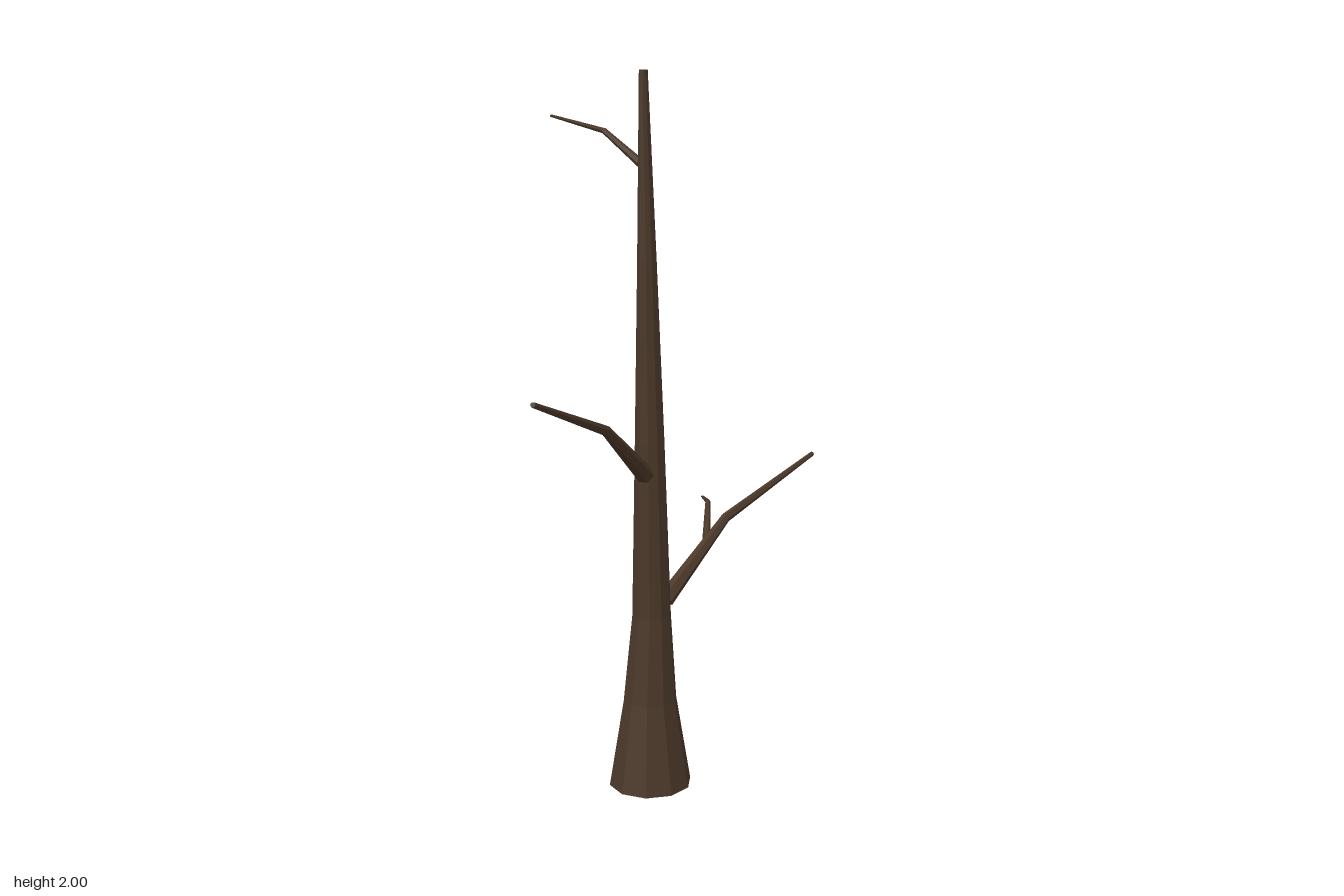
import * as THREE from 'three';

const bark = new THREE.MeshStandardMaterial({ color: 0x4a3728, flatShading: true });

// Capped tube through stations [x, y, z, radius]; level rings lie flat, others follow the path
function limb(name, stations, sides, level = false, turn = 0) {
  const pts = stations.map(s => new THREE.Vector3(s[0], s[1], s[2]));
  const up = new THREE.Vector3(0, 1, 0);
  const last = pts.length - 1;
  const pos = [], idx = [];
  pts.forEach((p, i) => {
    const dir = level ? up.clone()
      : pts[Math.min(i + 1, last)].clone().sub(pts[Math.max(i - 1, 0)]).normalize();
    // u x v points along the limb
    const u = level ? new THREE.Vector3(1, 0, 0) : new THREE.Vector3().crossVectors(up, dir).normalize();
    const v = new THREE.Vector3().crossVectors(dir, u);
    for (let j = 0; j < sides; j++) {
      const a = turn + (j / sides) * Math.PI * 2;
      const q = p.clone().addScaledVector(u, Math.cos(a) * stations[i][3])
        .addScaledVector(v, Math.sin(a) * stations[i][3]);
      pos.push(q.x, q.y, q.z);
    }
  });
  for (let i = 0; i < last; i++) {
    for (let j = 0; j < sides; j++) {
      const a = i * sides + j, b = i * sides + (j + 1) % sides;
      idx.push(a, b, b + sides, a, b + sides, a + sides);
    }
  }
  // End caps
  const end = last * sides;
  for (let j = 1; j < sides - 1; j++) {
    idx.push(0, j + 1, j, end, end + j, end + j + 1);
  }
  const geo = new THREE.BufferGeometry();
  geo.setAttribute('position', new THREE.Float32BufferAttribute(pos, 3));
  geo.setIndex(idx);
  geo.computeVertexNormals();
  const mesh = new THREE.Mesh(geo, bark);
  mesh.name = name;
  return mesh;
}

export function createModel() {
  const tree = new THREE.Group();
  tree.name = 'bareTree';

  // Ten-sided trunk, flared at the foot and tapering to a thin tip
  tree.add(limb('trunk', [
    [-0.118, 0, -0.036, 0.119],
    [-0.117, 0.25, -0.043, 0.077],
    [-0.111, 0.5, -0.05, 0.056],
    [-0.114, 1.0, -0.044, 0.042],
    [-0.119, 1.5, -0.032, 0.027],
    [-0.126, 2.0, -0.02, 0.012],
  ], 10, true, THREE.MathUtils.degToRad(10)));

  // Bent branches
  tree.add(limb('lowerBranch', [
    [-0.07, 0.535, -0.075, 0.025],
    [0.115, 0.735, -0.23, 0.014],
    [0.404, 0.875, -0.471, 0.007],
  ], 6));
  tree.add(limb('lowerTwig', [
    [0.054, 0.675, -0.185, 0.012],
    [0.073, 0.748, -0.378, 0.008],
    [0.069, 0.719, -0.575, 0.004],
  ], 6));
  tree.add(limb('middleBranch', [
    [-0.128, 0.915, -0.008, 0.026],
    [-0.235, 1.08, 0.208, 0.014],
    [-0.404, 1.21, 0.571, 0.007],
  ], 6));
  tree.add(limb('upperBranch', [
    [-0.135, 1.76, -0.037, 0.012],
    [-0.23, 1.846, -0.152, 0.008],
    [-0.38, 1.892, -0.345, 0.004],
  ], 6));

  return tree;
}
